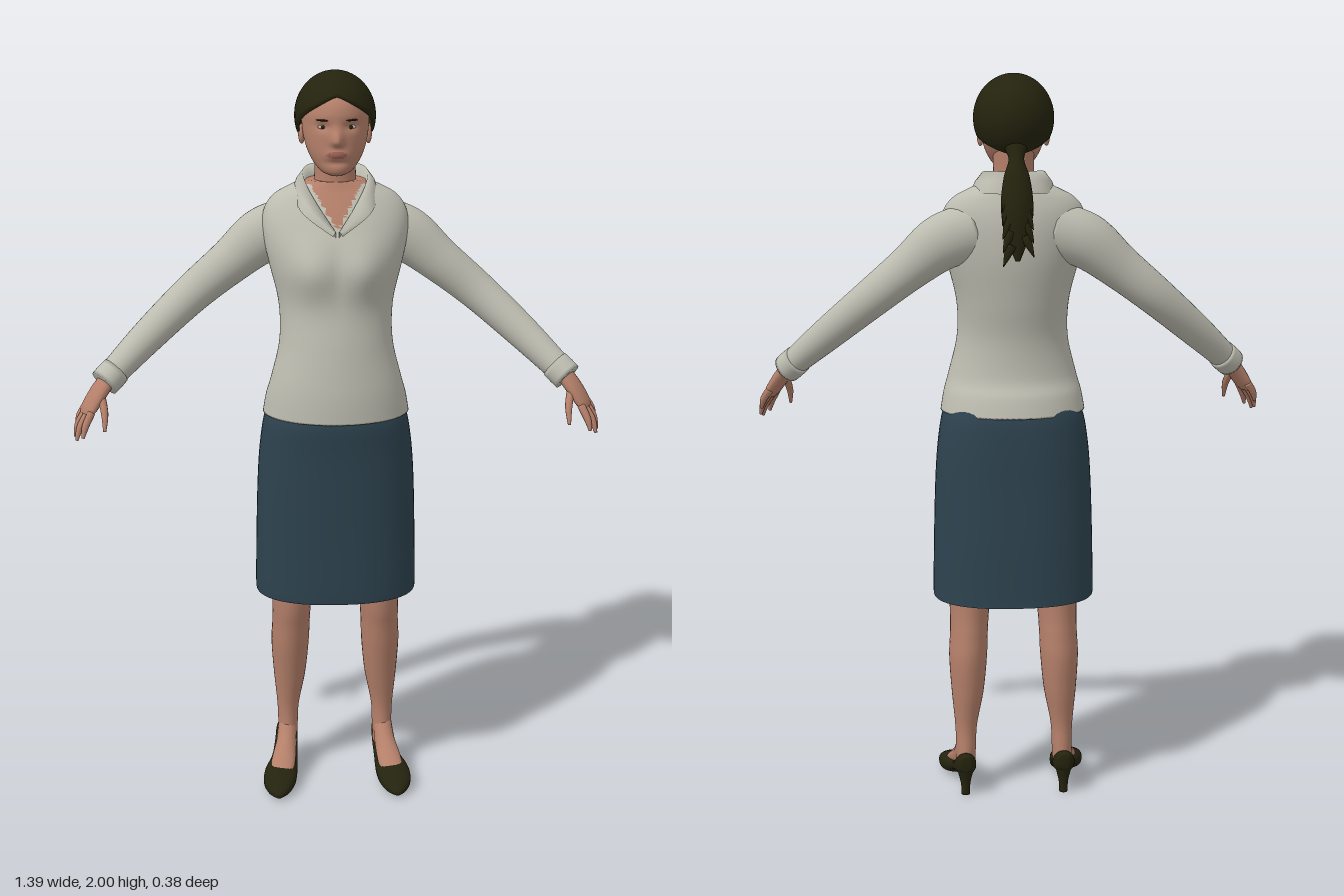
import * as THREE from 'three';

const mat = (name, color, side = THREE.FrontSide) => {
  const m = new THREE.MeshStandardMaterial({ color, side });
  m.name = name;
  return m;
};

// Catmull-Rom through rows of numbers
function smooth(keys, steps) {
  const out = [], n = keys.length - 1;
  for (let s = 0; s <= steps; s++) {
    const t = (s / steps) * n, i = Math.min(Math.floor(t), n - 1), f = t - i;
    const [p, a, b, q] = [keys[Math.max(i - 1, 0)], keys[i], keys[i + 1], keys[Math.min(i + 2, n)]];
    out.push(a.map((v, k) => {
      const m0 = (b[k] - p[k]) / 2, m1 = (q[k] - v) / 2, d = b[k] - v;
      return v + f * (m0 + f * (3 * d - 2 * m0 - m1 + f * (m0 + m1 - 2 * d)));
    }));
  }
  return out;
}

// Skin closed rings; pick(x, y, z) chooses the material group of each face
function loft(rings, { bottom = true, top = true, pick = () => 0, bend } = {}) {
  const n = rings[0].length, pts = rings.flat(), tris = [];
  for (let i = 0; i < rings.length - 1; i++) for (let j = 0; j < n; j++) {
    const a = i * n + j, b = i * n + (j + 1) % n, c = b + n, d = a + n;
    tris.push([a, b, d], [b, c, d]);
  }
  const cap = (start, flip) => {
    const c = new THREE.Vector3();
    for (let j = 0; j < n; j++) c.addScaledVector(pts[start + j], 1 / n);
    const k = pts.push(c) - 1;
    for (let j = 0; j < n; j++) {
      const a = start + j, b = start + (j + 1) % n;
      tris.push(flip ? [k, b, a] : [k, a, b]);
    }
  };
  if (bottom) cap(0, true);
  if (top) cap((rings.length - 1) * n, false);
  const sets = [];
  for (const t of tris) {
    const c = new THREE.Vector3();
    t.forEach(k => c.addScaledVector(pts[k], 1 / 3));
    const g = pick(c.x, c.y, c.z);
    (sets[g] ||= []).push(...t);
  }
  if (bend) pts.forEach(bend);
  const geo = new THREE.BufferGeometry().setFromPoints(pts);
  geo.setIndex(sets.flat());
  let start = 0;
  sets.forEach((s, g) => { geo.addGroup(start, s.length, g); start += s.length; });
  geo.computeVertexNormals();
  return geo;
}

// Upright body: keys are [y, half width, front z, back z, centre x], bottom to top
const upright = (keys, steps, seg, opt = {}) => loft(smooth(keys, steps).map(([y, w, zf, zb, cx = 0]) =>
  Array.from({ length: seg }, (_, j) => {
    const t = (j / seg) * Math.PI * 2, e = opt.square || 1;
    const p = v => Math.sign(v) * Math.abs(v) ** e;
    return new THREE.Vector3(cx + w * p(Math.sin(t)), y, (zf + zb) / 2 + (zf - zb) / 2 * p(Math.cos(t)));
  })), opt);

// Limb along a path: keys are [x, y, z, half size along wide, half size across]
function limb(keys, wide, steps = 20, seg = 16) {
  const rows = smooth(keys, steps), at = i => new THREE.Vector3(...rows[i].slice(0, 3));
  return loft(rows.map((r, i) => {
    const T = at(Math.min(i + 1, steps)).sub(at(Math.max(i - 1, 0))).normalize();
    const u = wide.clone().addScaledVector(T, -T.dot(wide)).normalize();
    const v = T.clone().cross(u);
    return Array.from({ length: seg }, (_, j) => {
      const t = (j / seg) * Math.PI * 2;
      return at(i).addScaledVector(u, r[3] * Math.cos(t)).addScaledVector(v, r[4] * Math.sin(t));
    });
  }));
}

// Open sheet from a grid of points
function sheet(rows) {
  const n = rows[0].length, index = [];
  for (let i = 0; i < rows.length - 1; i++) for (let j = 0; j < n - 1; j++) {
    const a = i * n + j;
    index.push(a, a + n, a + 1, a + 1, a + n, a + n + 1);
  }
  const geo = new THREE.BufferGeometry().setFromPoints(rows.flat());
  geo.setIndex(index);
  geo.computeVertexNormals();
  return geo;
}

export function createModel() {
  const root = new THREE.Group();
  root.name = 'woman';
  const skin = mat('skin', 0xb5806a), shirt = mat('shirt', 0xbcbcb0), skirt = mat('skirt', 0x2d424e);
  const dark = mat('darkBrown', 0x24230e), lining = mat('skirtLining', 0x24230e, THREE.BackSide);
  const hairMat = mat('hair', 0x24230e, THREE.DoubleSide), collarMat = mat('collar', 0xbcbcb0, THREE.DoubleSide);
  const lips = mat('lips', 0x9c6155), white = mat('eyeWhite', 0xc9c2b8);
  const add = (name, geo, m, parent = root) => {
    const mesh = new THREE.Mesh(geo, m);
    mesh.name = name;
    parent.add(mesh);
    return mesh;
  };
  const V = (...p) => new THREE.Vector3(...p);
  const Z = V(0, 0, 1), X = V(1, 0, 0);
  const bump = (d, r) => Math.exp(-((d / r) ** 2));

  // Shirt body, with bare skin inside the V neck
  add('shirtBody', upright([
    [1.1, .197, .18, -.123], [1.15, .188, .179, -.108], [1.2, .174, .175, -.085], [1.3, .151, .162, -.08],
    [1.4, .152, .146, -.097], [1.5, .175, .142, -.113], [1.56, .188, .13, -.117], [1.61, .193, .108, -.115],
    [1.65, .184, .085, -.108], [1.68, .16, .066, -.098], [1.7, .125, .054, -.09], [1.72, .08, .045, -.078],
  ], 72, 80, {
    pick: (x, y, z) => y > 1.712 || (z > 0 && Math.abs(x) < (y - 1.605) * .62) ? 1 : 0,
    bend: p => { if (p.z > 0) p.z += .024 * bump(Math.abs(p.x) - .07, .06) * bump(p.y - 1.5, .07); },
  }), [shirt, skin]);

  // Collar: folded ribbon from the nape down to the V
  const inner = [[0, 1.75, -.084], [.055, 1.752, -.066], [.084, 1.744, -.012], [.076, 1.712, .045], [.044, 1.66, .092], [.004, 1.605, .127]];
  const outer = [[0, 1.695, -.105], [.08, 1.695, -.085], [.112, 1.69, -.012], [.103, 1.665, .055], [.078, 1.638, .103], [.012, 1.594, .134]];
  const around = half => smooth([...half.slice(1).reverse().map(([x, y, z]) => [-x, y, z]), ...half], 48).map(p => V(...p));
  const A = around(inner), B = around(outer);
  add('collar', sheet([A.map(p => p.clone().add(V(p.x * -.12, -.035, -p.z * .1))), A, A.map((p, i) => p.clone().lerp(B[i], .5).add(V(p.x * .05, .003, p.z * .05))), B]), collarMat);

  // Skirt and its dark inside
  const skirtKeys = [[.58, .22, .16, -.15], [.6, .222, .163, -.148], [.75, .219, .164, -.142], [.9, .214, .166, -.133],
    [1, .207, .168, -.128], [1.08, .195, .172, -.121], [1.12, .18, .165, -.11]];
  add('skirt', upright(skirtKeys, 36, 64, { square: .85, bottom: false }), skirt);
  add('skirtLining', upright(skirtKeys.slice(0, 4).map(([y, w, f, b]) => [y, w - .004, f - .004, b + .004]), 8, 64,
    { square: .85, bottom: false }), lining);

  // Neck, head and face
  add('neck', upright([[1.64, .068, .05, -.075], [1.7, .058, .046, -.07], [1.75, .054, .046, -.066], [1.82, .056, .05, -.07]], 12, 32), skin);
  add('head', upright([
    [1.742, .02, .085, .02], [1.752, .04, .1, 0], [1.775, .06, .104, -.035], [1.805, .075, .106, -.065], [1.84, .084, .106, -.09],
    [1.87, .087, .104, -.1], [1.9, .087, .105, -.108], [1.93, .08, .094, -.105], [1.955, .062, .07, -.085], [1.975, .03, .035, -.045],
  ], 64, 72, {
    pick: (x, y, z) => z > .06 && (x / .027) ** 2 + ((y - 1.799) / .009) ** 2 < 1 ? 1 : 0,
    bend: p => {
      if (p.z < .04) return;
      const ax = Math.abs(p.x);
      p.z += .023 * bump(p.x, .013) * bump(p.y - 1.832, p.y > 1.832 ? .028 : .01)
        + .007 * bump(p.x, .026) * bump(p.y - 1.799, .011)
        - .008 * bump(ax - .036, .017) * bump(p.y - 1.869, .011)
        - .005 * bump(p.x, .03) * bump(p.y - 1.778, .008);
    },
  }), [skin, lips]);
  for (const s of [1, -1]) {
    const ball = (name, m, pos, size) => {
      const b = add(name, new THREE.SphereGeometry(1, 16, 12), m);
      b.position.set(pos[0] * s, pos[1], pos[2]);
      b.scale.set(...size);
      return b;
    };
    ball('eye', white, [.036, 1.868, .086], [.013, .005, .005]);
    ball('iris', dark, [.036, 1.868, .0895], [.005, .005, .003]);
    ball('eyebrow', dark, [.037, 1.886, .094], [.018, .0025, .004]).rotation.y = s * .4;
    ball('ear', skin, [.087, 1.838, -.008], [.009, .026, .016]);
  }

  // Hair cap: dome whose lower edge follows the hairline
  const hairline = smooth([[30], [17], [0], [-26], [-36], [-46], [-54]], 32).map(r => r[0] * Math.PI / 180);
  const dome = [];
  for (let i = 0; i <= 24; i++) dome.push(Array.from({ length: 65 }, (_, j) => {
    const t = (j / 32) * Math.PI, low = hairline[j <= 32 ? j : 64 - j];
    const e = Math.PI / 2 + (low - Math.PI / 2) * (i / 24), c = Math.cos(e);
    const tuck = i === 24 ? .94 : 1;
    return V(.106 * c * Math.sin(t) * tuck, 1.885 + .115 * Math.sin(e), -.012 + .122 * c * Math.cos(t) * tuck);
  }));
  add('hairCap', sheet(dome), hairMat);

  // Ponytail with ragged strands
  const tail = [[0, 1.82, -.09, .035, .03], [0, 1.787, -.114, .02, .018], [0, 1.74, -.13, .034, .024], [0, 1.67, -.144, .042, .03],
    [0, 1.6, -.155, .033, .024], [0, 1.53, -.17, .006, .005]];
  add('ponytail', limb(tail, X, 24), dark);
  for (let i = 0; i < 14; i++) {
    const y = 1.72 - i * .0115, a = i * 2.1, z = -.133 - (1.72 - y) * .2;
    const dx = Math.sin(a), dz = Math.cos(a) * .6 - .4;
    add('strand', limb([[dx * .02, y, z + dz * .015, .013, .012], [dx * .034, y - .025, z + dz * .026, .009, .009],
      [dx * .046, y - .052, z + dz * .034, .001, .001]], X, 4, 6), dark);
  }

  for (const s of [1, -1]) {
    const side = new THREE.Group();
    side.name = s > 0 ? 'leftLimbs' : 'rightLimbs';
    root.add(side);
    const flip = keys => keys.map(([x, ...r]) => [x * s, ...r]);

    // Sleeve and cuff
    add('sleeve', limb(flip([[.1, 1.595, -.04, .06, .075], [.19, 1.565, -.042, .062, .074], [.28, 1.495, -.035, .055, .06],
      [.385, 1.41, -.022, .05, .052], [.5, 1.31, .03, .044, .045], [.6, 1.218, .093, .038, .036]]), Z, 36, 28), shirt, side);
    add('cuff', limb(flip([[.583, 1.233, .082, .041, .04], [.6, 1.217, .093, .042, .041], [.615, 1.203, .103, .041, .04]]), Z, 4, 28), shirt, side);

    // Hand
    const wide = V(-.4 * s, -.2, .9);
    add('palm', limb(flip([[.6, 1.22, .095, .028, .02], [.63, 1.18, .112, .033, .019], [.655, 1.142, .122, .034, .015],
      [.664, 1.125, .127, .027, .01]]), wide, 14), skin, side);
    const fingers = [
      [[.664, 1.145, .099], [.682, 1.117, .108], [.689, 1.09, .115]],
      [[.662, 1.137, .114], [.684, 1.102, .127], [.693, 1.068, .138]],
      [[.656, 1.133, .129], [.678, 1.097, .144], [.688, 1.062, .154]],
      [[.647, 1.135, .143], [.663, 1.102, .158], [.67, 1.072, .169]],
      [[.622, 1.178, .122], [.612, 1.135, .155], [.612, 1.092, .177]],
    ];
    fingers.forEach((f, i) => add(i < 4 ? 'finger' : 'thumb',
      limb(flip(f.map((p, k) => [...p, [.0105, .0095, .004][k], [.0105, .0095, .004][k]])), wide, 10, 10), skin, side));

    // Leg and foot
    add('leg', upright([[.07, .027, .02, -.066, .138], [.13, .028, .012, -.063, .136], [.2, .031, .012, -.06, .135], [.3, .045, .032, -.075, .13],
      [.4, .053, .055, -.085, .128], [.47, .053, .068, -.081, .125], [.55, .056, .083, -.076, .122], [.75, .07, .095, -.08, .115]]
      .map(k => [...k.slice(0, 4), k[4] * s]), 36, 32), skin, side);
    add('foot', limb(flip([[.137, .14, -.022, .026, .028], [.142, .093, .015, .029, .03], [.152, .06, .07, .034, .02], [.16, .035, .12, .03, .012]]),
      X, 14), skin, side);

    // Court shoe: keys are [z, centre x, half width, bottom y, top y]
    const shoe = smooth([[-.086, .139, .014, .08, .12], [-.065, .139, .029, .06, .126], [-.02, .142, .033, .052, .088], [.03, .148, .037, .03, .068],
      [.08, .158, .046, .006, .062], [.13, .164, .045, 0, .052], [.17, .166, .03, .002, .036], [.194, .167, .008, .008, .02]], 36);
    add('shoe', loft(shoe.map(([z, x, w, lo, hi]) => Array.from({ length: 28 }, (_, j) => {
      const t = (j / 28) * Math.PI * 2;
      return V(x * s + w * Math.cos(t), (lo + hi) / 2 + (hi - lo) / 2 * Math.sign(Math.sin(t)) * Math.abs(Math.sin(t)) ** .75, z);
    }))), dark, side);
    add('heel', upright([[0, .012, -.044, -.07, .139 * s], [.035, .014, -.04, -.072, .139 * s], [.085, .027, -.02, -.084, .139 * s]], 8, 20), dark, side);
  }
  return root;
}
